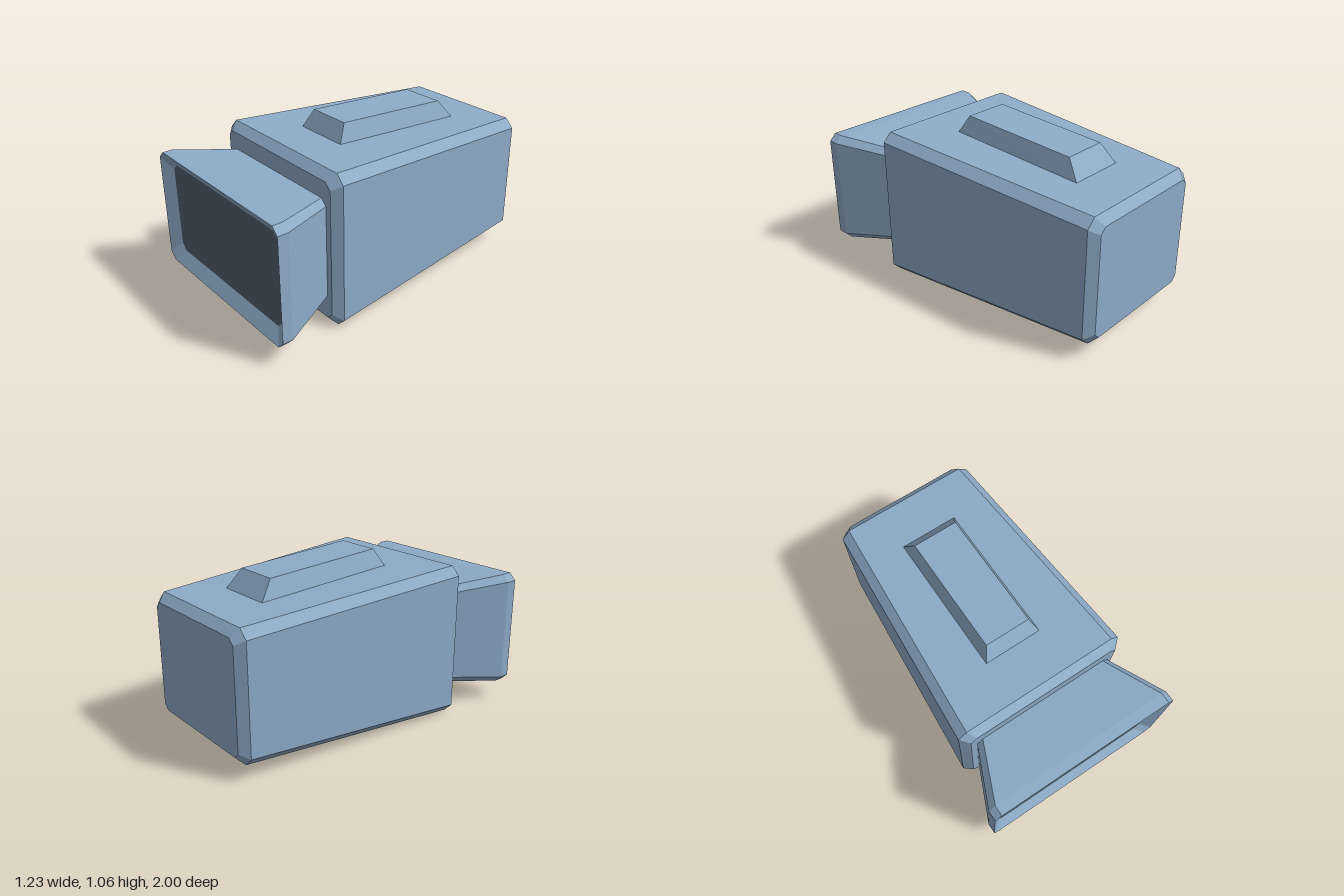
import * as THREE from 'three';

// Rectangle with cut corners, counter-clockwise seen from the front
function ring([z, w, y0, y1, c]) {
  return [
    [w, y0 + c, z], [w, y1 - c, z], [w - c, y1, z], [c - w, y1, z],
    [-w, y1 - c, z], [-w, y0 + c, z], [c - w, y0, z], [w - c, y0, z],
  ];
}

// Faceted skin through rings listed from front to back, with optional caps
function loft(rings, frontCap, backCap) {
  const pos = [];
  const tri = (a, b, c) => pos.push(...a, ...b, ...c);
  const n = rings[0].length;
  for (let r = 0; r < rings.length - 1; r++) {
    for (let i = 0; i < n; i++) {
      const j = (i + 1) % n;
      const [a, b, c, d] = [rings[r][i], rings[r][j], rings[r + 1][j], rings[r + 1][i]];
      tri(a, d, c);
      tri(a, c, b);
    }
  }
  const first = rings[0], last = rings[rings.length - 1];
  for (let i = 1; i < n - 1; i++) {
    if (frontCap) tri(first[0], first[i], first[i + 1]);
    if (backCap) tri(last[0], last[i + 1], last[i]);
  }
  const geo = new THREE.BufferGeometry();
  geo.setAttribute('position', new THREE.Float32BufferAttribute(pos, 3));
  geo.computeVertexNormals();
  return geo;
}

export function createModel() {
  const model = new THREE.Group();
  const shellBlue = new THREE.MeshStandardMaterial({ color: 0x8eabc7, name: 'shellBlue' });
  const screenDark = new THREE.MeshStandardMaterial({ color: 0x50606f, name: 'screenDark' });
  const add = (name, geo, mat) => {
    const mesh = new THREE.Mesh(geo, mat);
    mesh.name = name;
    model.add(mesh);
  };

  // Tapered housing: z, half width, bottom, top, corner cut
  add('housing', loft([
    [0.58, 0.5, 0.052, 0.923, 0.04],
    [0.53, 0.55, 0.0, 0.972, 0.055],
    [-0.95, 0.458, 0.095, 0.885, 0.055],
    [-1.0, 0.408, 0.145, 0.835, 0.035],
  ].map(ring), true, true), shellBlue);

  // Flared hood: from the recessed screen edge over the rim and back into the housing
  const screen = [0.95, 0.545, 0.195, 0.785, 0.04];
  add('hood', loft([
    screen,
    [1.0, 0.617, 0.118, 0.86, 0.043],
    [0.935, 0.617, 0.118, 0.86, 0.043],
    [0.5, 0.425, 0.175, 0.805, 0.037],
  ].map(ring), false, true), shellBlue);

  // Dark screen at the bottom of the recess
  add('screen', new THREE.ShapeGeometry(new THREE.Shape(
    ring(screen).map(([x, y]) => new THREE.Vector2(x, y)))).translate(0, 0, screen[0]), screenDark);

  // Raised pad on the sloping roof, bevelled on all four sides
  const quad = (w, zf, yf, zb, yb) => [[-w, yf, zf], [w, yf, zf], [w, yb, zb], [-w, yb, zb]];
  add('roofPad', loft([
    quad(0.143, 0.195, 1.063, -0.575, 1.017),
    quad(0.183, 0.255, 0.955, -0.663, 0.901),
  ], true, true), shellBlue);

  return model;
}
